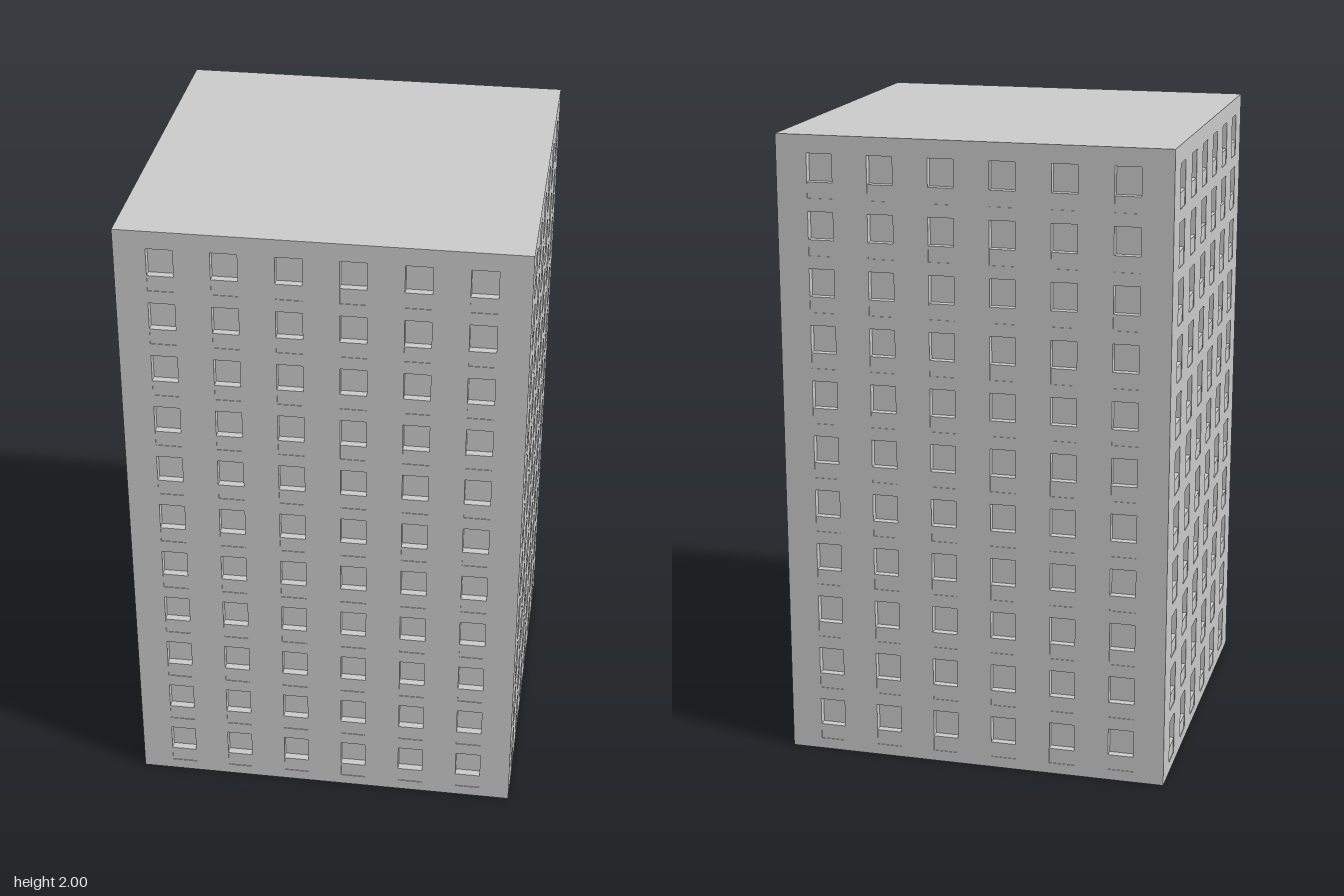
import * as THREE from 'three';
import { mergeGeometries } from 'three/addons/utils/BufferGeometryUtils.js';

const SIDE = 1.222, HEIGHT = 2, TURN = -0.168;      // square tower, slightly turned
const COLS = 6, ROWS = 11, PITCH_X = 0.1896, PITCH_Y = 0.1772;
const WIN_W = 0.08, WIN_H = 0.087, PANEL_H = 0.05;  // window and the panel under it
const DEPTH = 0.025, INSET = 0.002;                 // recess of pane and of panel

// Flat rectangle, turned about x and y, then placed
function plate(w, h, x, y, z, rx = 0, ry = 0) {
  return new THREE.PlaneGeometry(w, h).rotateX(rx).rotateY(ry).translate(x, y, z);
}

// Lower-left corner of every opening on one wall
function openings() {
  const list = [];
  for (let r = 0; r < ROWS; r++) {
    for (let c = 0; c < COLS; c++) {
      list.push([(c - (COLS - 1) / 2) * PITCH_X, 0.085 + r * PITCH_Y]);
    }
  }
  return list;
}

// Thin wall with a rectangular hole for each window and its panel
function wallGeometry() {
  const s = SIDE / 2;
  const shape = new THREE.Shape([[-s, 0], [s, 0], [s, HEIGHT], [-s, HEIGHT]].map(p => new THREE.Vector2(...p)));
  for (const [x, y] of openings()) {
    const w = WIN_W / 2, lo = y - PANEL_H, hi = y + WIN_H;
    shape.holes.push(new THREE.Path([[-w, lo], [-w, hi], [w, hi], [w, lo]].map(p => new THREE.Vector2(x + p[0], p[1]))));
  }
  return new THREE.ShapeGeometry(shape);
}

// Jambs, lintel and sill around every opening
function revealGeometry() {
  const parts = [], h = WIN_H + PANEL_H, q = Math.PI / 2;
  for (const [x, y] of openings()) {
    const mid = y + (WIN_H - PANEL_H) / 2;
    parts.push(
      plate(DEPTH, h, x - WIN_W / 2, mid, -DEPTH / 2, 0, q),
      plate(DEPTH, h, x + WIN_W / 2, mid, -DEPTH / 2, 0, -q),
      plate(WIN_W, DEPTH, x, y + WIN_H, -DEPTH / 2, q),
      plate(WIN_W, DEPTH, x, y, -DEPTH / 2, -q),
      plate(WIN_W, DEPTH, x, y - PANEL_H, -DEPTH / 2, -q));
  }
  return mergeGeometries(parts);
}

export function createModel() {
  const model = new THREE.Group();
  model.name = 'towerBlock';
  const material = new THREE.MeshStandardMaterial({ color: 0xcccccc, side: THREE.DoubleSide });

  const add = (parent, name, geometry) => {
    const mesh = new THREE.Mesh(geometry, material);
    mesh.name = name;
    parent.add(mesh);
    return mesh;
  };

  const wall = wallGeometry();
  const reveals = revealGeometry();
  const panes = mergeGeometries(openings().map(([x, y]) => plate(WIN_W, WIN_H, x, y + WIN_H / 2, -DEPTH)));
  const panels = mergeGeometries(openings().map(([x, y]) => plate(WIN_W, PANEL_H, x, y - PANEL_H / 2, -INSET)));

  // Four identical facades
  ['front', 'left', 'back', 'right'].forEach((name, i) => {
    const facade = new THREE.Group();
    facade.name = name + 'Facade';
    facade.rotation.y = i * Math.PI / 2 + TURN;
    facade.position.set(0, 0, SIDE / 2).applyEuler(facade.rotation);
    add(facade, 'wall', wall);
    add(facade, 'windowReveals', reveals);
    add(facade, 'windowPanes', panes);
    add(facade, 'sillPanels', panels);
    model.add(facade);
  });

  // Flat roof; the underside stays open
  add(model, 'roof', plate(SIDE, SIDE, 0, HEIGHT, 0, -Math.PI / 2, TURN));
  return model;
}
